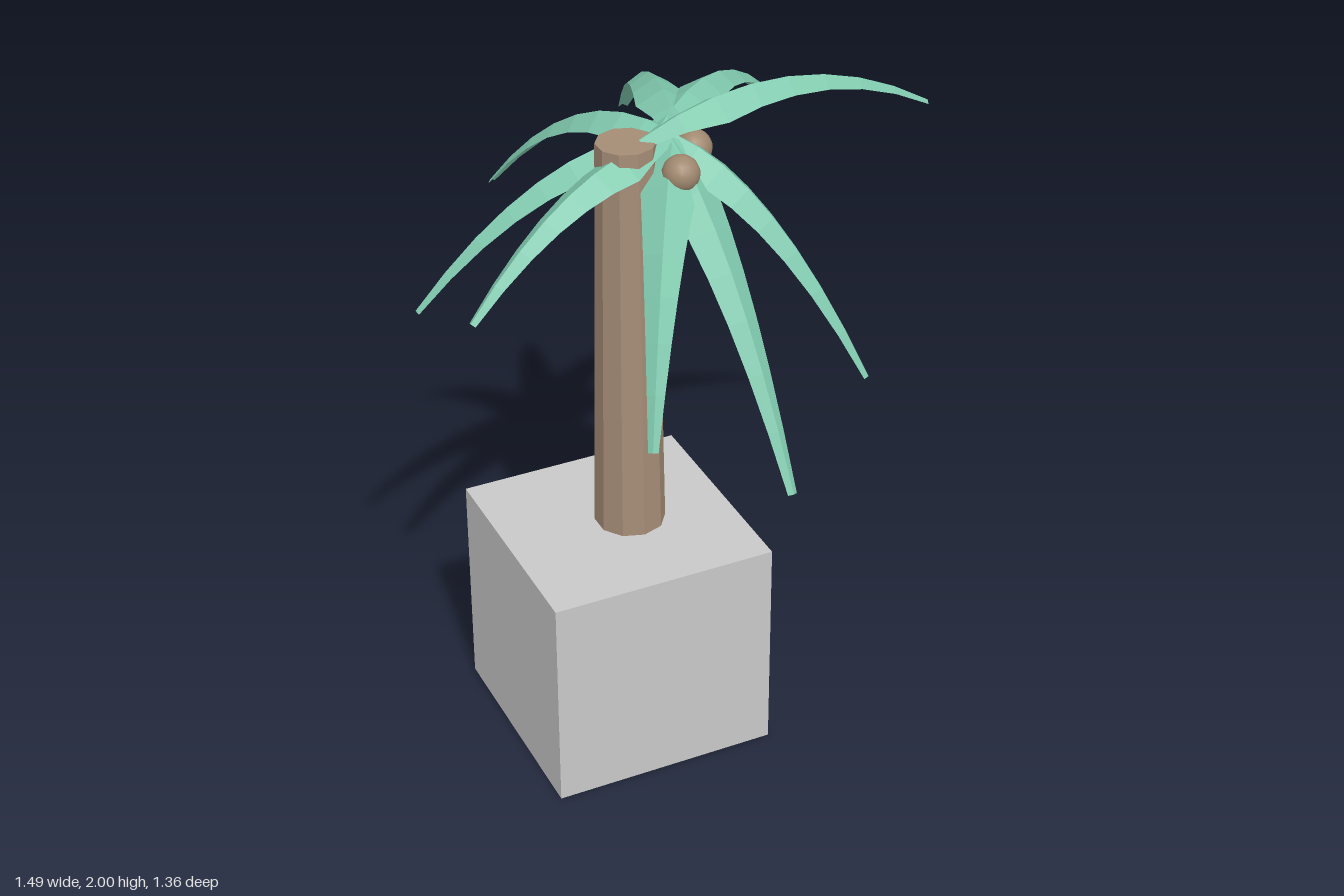
import * as THREE from 'three';

const green = new THREE.MeshStandardMaterial({ name: 'leafGreen', color: 0x7fc8ad, flatShading: true, side: THREE.DoubleSide });
const barkBrown = new THREE.MeshStandardMaterial({ name: 'barkBrown', color: 0xa58d76, flatShading: true });
const nutBrown = new THREE.MeshStandardMaterial({ name: 'nutBrown', color: 0xa0886f });
const grey = new THREE.MeshStandardMaterial({ name: 'blockGrey', color: 0xc9c9c9 });

function add(parent, name, geometry, material, x, y, z) {
  const mesh = new THREE.Mesh(geometry, material);
  mesh.name = name;
  mesh.position.set(x, y, z);
  parent.add(mesh);
  return mesh;
}

// Half width of a leaf along its length: narrow stem, broad shoulder, tapering tip
function halfWidth(t) {
  return t < 0.25 ? THREE.MathUtils.lerp(0.025, 0.076, t / 0.25)
    : THREE.MathUtils.lerp(0.076, 0.014, (t - 0.25) / 0.75);
}

// Arched leaf folded along its ridge: three points per cross-section
function frondGeometry(base, tip, lift) {
  const control = base.clone().add(tip).multiplyScalar(0.5);
  control.y += lift;
  const curve = new THREE.QuadraticBezierCurve3(base, control, tip);
  const side = new THREE.Vector3(-(tip.z - base.z), 0, tip.x - base.x).normalize();
  const segments = 8;
  const positions = [];
  const index = [];
  for (let i = 0; i <= segments; i++) {
    const t = i / segments;
    const ridge = curve.getPoint(t);
    const normal = side.clone().cross(curve.getTangent(t));
    if (normal.y < 0) normal.negate();
    const w = halfWidth(t);
    for (const s of [-1, 0, 1]) {
      const p = ridge.clone().addScaledVector(side, s * w).addScaledVector(normal, -Math.abs(s) * w * 0.6);
      positions.push(p.x, p.y, p.z);
    }
    if (i < segments) {
      for (const a of [i * 3, i * 3 + 1]) index.push(a, a + 3, a + 1, a + 1, a + 3, a + 4);
    }
  }
  const geometry = new THREE.BufferGeometry();
  geometry.setAttribute('position', new THREE.Float32BufferAttribute(positions, 3));
  geometry.setIndex(index);
  // Keep upper faces outward
  const flat = geometry.toNonIndexed();
  flat.computeVertexNormals();
  if (flat.attributes.normal.getY(0) < 0) {
    for (let i = 0; i < index.length; i += 3) [index[i], index[i + 1]] = [index[i + 1], index[i]];
    geometry.setIndex(index);
  }
  const result = geometry.toNonIndexed();
  result.computeVertexNormals();
  return result;
}

export function createModel() {
  const model = new THREE.Group();
  model.name = 'palmTree';

  // Square block and tapered trunk
  add(model, 'baseBlock', new THREE.BoxGeometry(0.675, 0.675, 0.675), grey, -0.218, 0.3375, 0.027);
  add(model, 'trunk', new THREE.CylinderGeometry(0.084, 0.104, 1.25, 10), barkBrown, -0.174, 1.272, 0.027);

  // Leaves: base x, y, z, tip x, y, z, arch height
  const crown = new THREE.Group();
  crown.name = 'crown';
  model.add(crown);
  const leaves = [
    [-0.14, 1.90, 0.04, 0.745, 1.84, 0.053, 0.26],
    [-0.09, 1.90, 0.03, 0.55, 1.645, -0.49, 0.28],
    [-0.03, 1.91, 0.05, 0.135, 1.63, -0.68, 0.28],
    [-0.04, 1.90, 0.03, -0.33, 1.525, -0.59, 0.26],
    [-0.05, 1.89, -0.01, -0.745, 1.44, -0.115, 0.23],
    [-0.05, 1.89, 0.03, -0.70, 1.55, 0.19, 0.20],
    [-0.04, 1.89, 0.04, -0.34, 1.255, 0.55, 0.24],
    [-0.05, 1.90, 0.03, 0.015, 1.10, 0.68, 0.25],
    [-0.03, 1.89, 0.03, 0.36, 1.255, 0.455, 0.24],
  ];
  for (const [bx, by, bz, tx, ty, tz, lift] of leaves) {
    add(crown, 'frond', frondGeometry(new THREE.Vector3(bx, by, bz), new THREE.Vector3(tx, ty, tz), lift), green, 0, 0, 0);
  }

  // Nuts hanging below the crown
  for (const [x, y, z] of [[-0.06, 1.825, 0.133], [0.05, 1.81, -0.018], [-0.112, 1.825, -0.045]]) {
    add(model, 'nut', new THREE.SphereGeometry(0.053, 16, 12), nutBrown, x, y, z);
  }
  return model;
}
